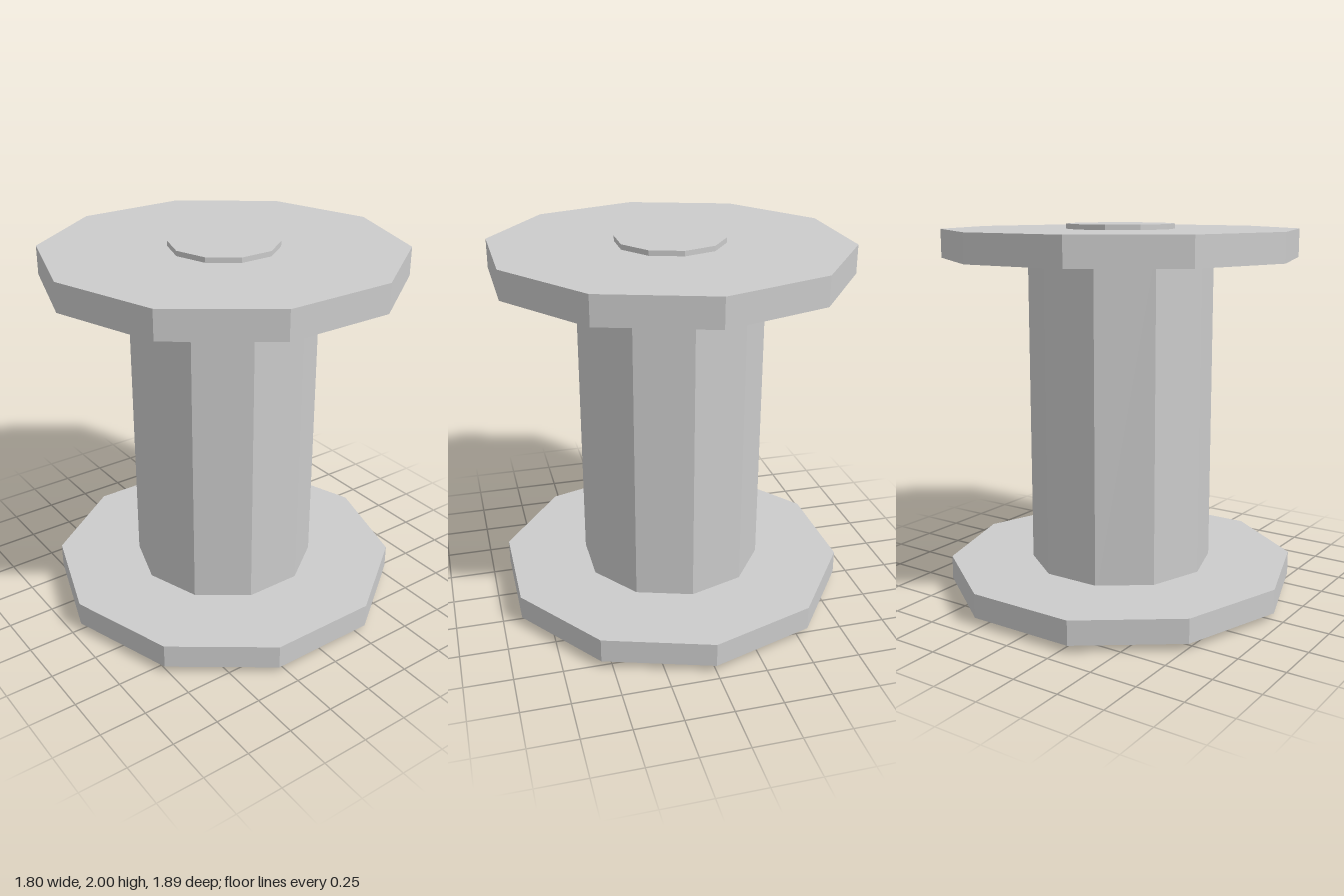
import * as THREE from 'three';

const SIDES = 10;

export function createModel() {
  const group = new THREE.Group();
  const material = new THREE.MeshStandardMaterial({ color: 0xcccccc, flatShading: true });

  // Ten-sided disc or post between two heights, one corner facing the front
  function prism(name, radius, bottom, top) {
    const geometry = new THREE.CylinderGeometry(radius, radius, top - bottom, SIDES);
    const mesh = new THREE.Mesh(geometry, material);
    mesh.name = name;
    mesh.position.y = (bottom + top) / 2;
    group.add(mesh);
    return mesh;
  }

  // Wide flanges at both ends of the spool
  prism('lowerFlange', 0.947, 0.037, 0.166);
  prism('upperFlange', 0.947, 1.823, 1.973);

  // Core between the flanges
  prism('core', 0.493, 0.1, 1.9);

  // Axle showing as a small hub above and below
  prism('axle', 0.287, 0, 2).position.z = -0.003;

  return group;
}
